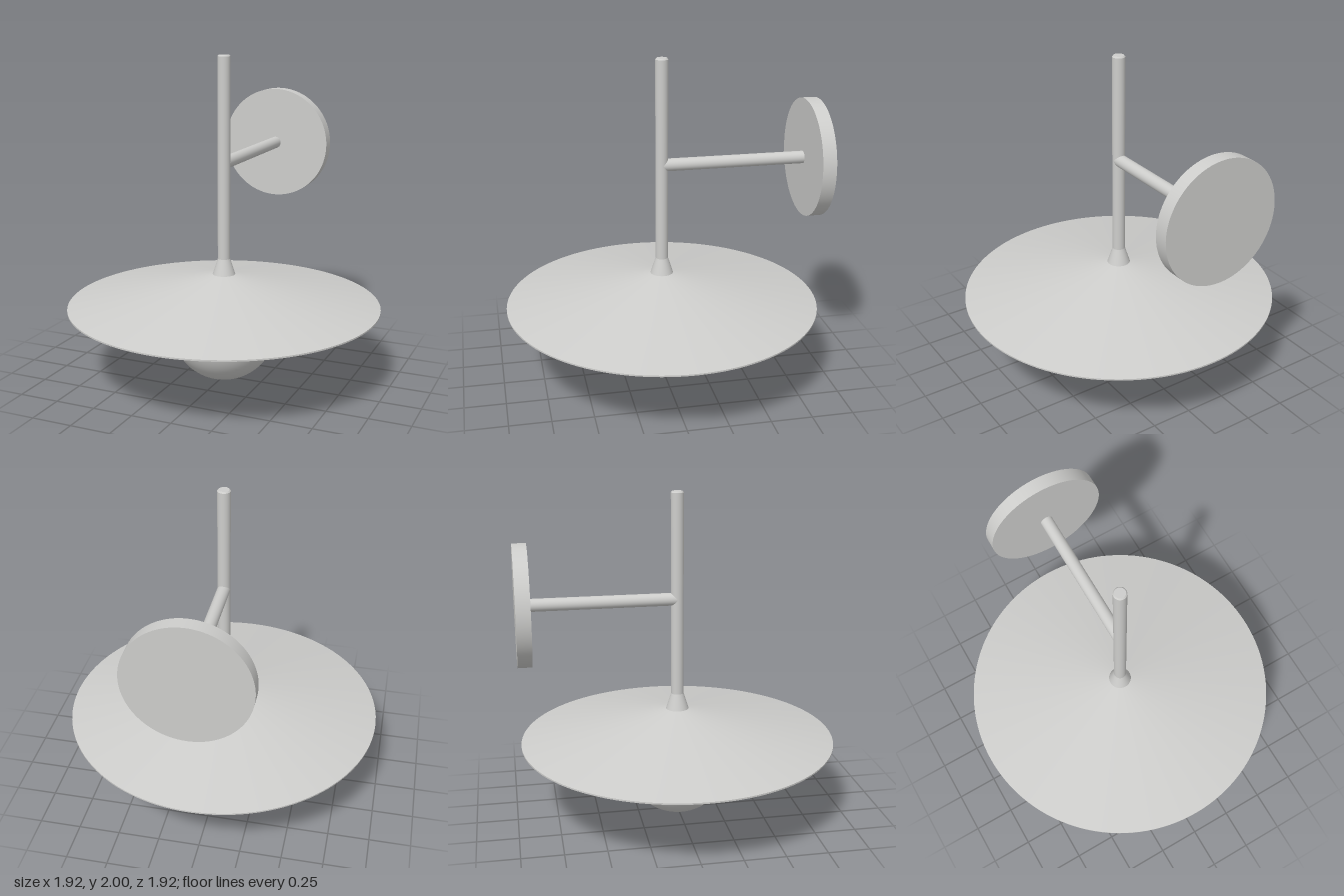
import * as THREE from 'three';
import { mergeGeometries } from 'three/addons/utils/BufferGeometryUtils.js';

// Turned solid with a crisp edge at every profile point
function turned(profile, segments = 96) {
  const bands = [];
  for (let i = 0; i < profile.length - 1; i++) {
    const pair = [profile[i], profile[i + 1]].map(([r, y]) => new THREE.Vector2(r, y));
    bands.push(new THREE.LatheGeometry(pair, segments));
  }
  return mergeGeometries(bands);
}

export function createModel() {
  const group = new THREE.Group();
  const paint = new THREE.MeshStandardMaterial({ color: 0xcdcdcb });
  paint.name = 'light grey';

  const add = (name, geometry, x = 0, y = 0, z = 0) => {
    const mesh = new THREE.Mesh(geometry, paint);
    mesh.name = name;
    mesh.position.set(x, y, z);
    group.add(mesh);
    return mesh;
  };

  // Globe bulb tucked under the shade
  add('bulb', new THREE.SphereGeometry(0.326, 64, 48), 0, 0.328, 0);

  // Thin hollow conical shade: underside, rim, upper side
  add('shade', turned([
    [0, 0.664], [0.07, 0.664], [0.958, 0.477], [0.958, 0.486], [0.07, 0.672], [0, 0.672],
  ], 128));

  // Flared collar and upright stem with a slightly eased top
  add('collar', turned([[0.07, 0.67], [0.038, 0.77]], 48));
  add('stem', turned([[0.038, 0.67], [0.038, 1.992], [0.031, 2], [0, 2]], 48));

  // Horizontal arm from the stem to the wall plate
  const arm = add('arm', new THREE.CylinderGeometry(0.038, 0.038, 0.88, 48), 0, 1.36, -0.44);
  arm.rotation.x = Math.PI / 2;

  // Round wall plate
  const plate = add('wallPlate', new THREE.CylinderGeometry(0.36, 0.36, 0.084, 96), 0, 1.36, -0.917);
  plate.rotation.x = Math.PI / 2;

  return group;
}
